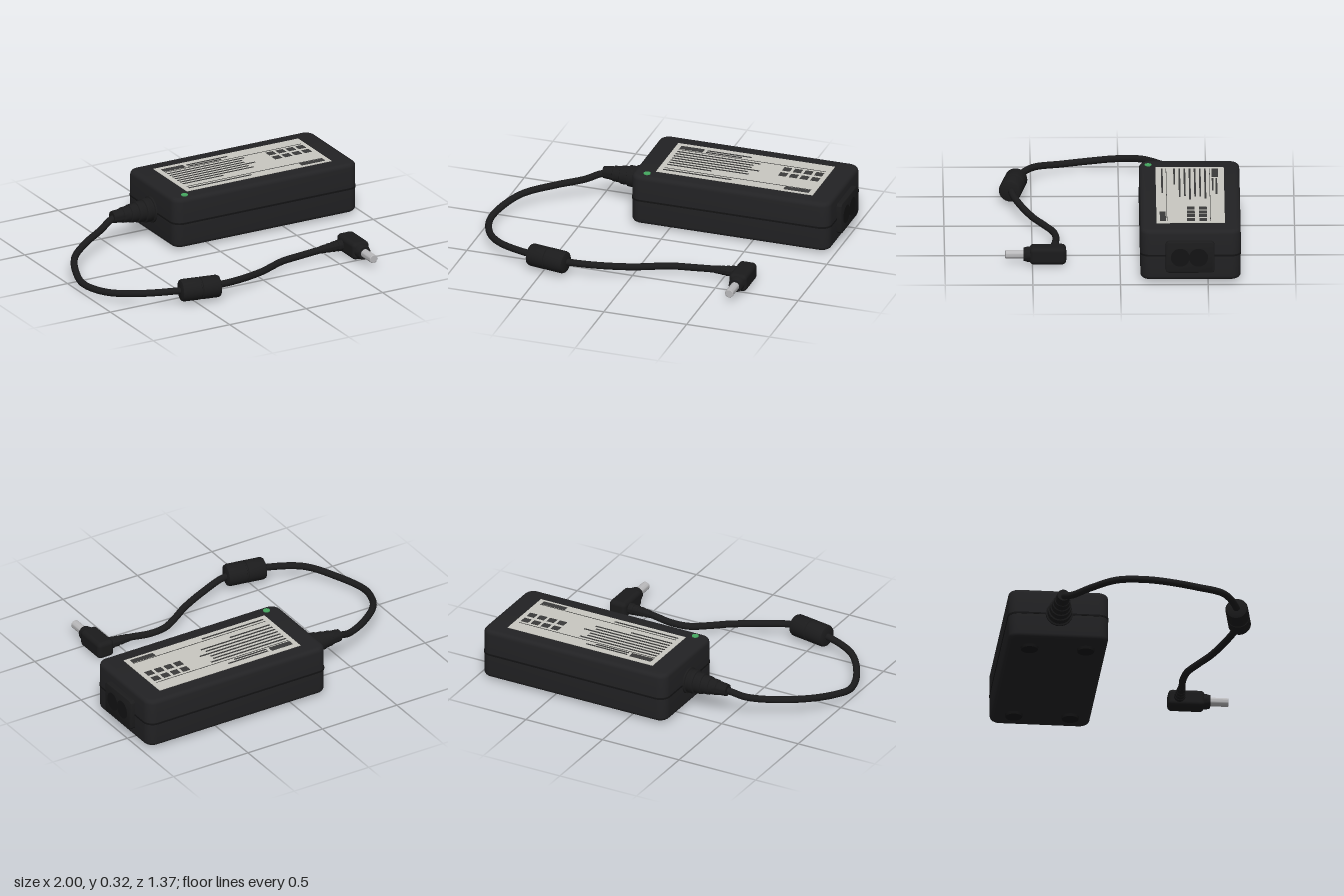
import * as THREE from 'three';
import { toCreasedNormals } from 'three/addons/utils/BufferGeometryUtils.js';
import { RoundedBoxGeometry } from 'three/addons/geometries/RoundedBoxGeometry.js';

const mat = (color) => new THREE.MeshStandardMaterial({ color });
const casing = mat(0x222224), rubber = mat(0x1b1b1c), dark = mat(0x131314);
const paper = mat(0xc8c7c0), ink = mat(0x3a3a3a), metal = mat(0xb8b8ba), green = mat(0x45a860);
const V = (x, y, z) => new THREE.Vector3(x, y, z);

function add(parent, name, geometry, material, x = 0, y = 0, z = 0) {
  const mesh = new THREE.Mesh(geometry, material);
  mesh.name = name;
  mesh.position.set(x, y, z);
  parent.add(mesh);
  return mesh;
}

// Rounded rectangle centred on the origin
function roundedRect(w, d, r) {
  const s = new THREE.Shape(), x = w / 2, y = d / 2;
  s.absarc(x - r, y - r, r, 0, Math.PI / 2);
  s.absarc(r - x, y - r, r, Math.PI / 2, Math.PI);
  s.absarc(r - x, r - y, r, Math.PI, Math.PI * 1.5);
  s.absarc(x - r, r - y, r, Math.PI * 1.5, Math.PI * 2);
  return s;
}

// Rounded slab of full size w x d x h, its thickness along z, centred
function slab(w, d, h, r, bevel) {
  const g = new THREE.ExtrudeGeometry(roundedRect(w - 2 * bevel, d - 2 * bevel, r - bevel), {
    depth: h - 2 * bevel, bevelEnabled: bevel > 0, bevelThickness: bevel,
    bevelSize: bevel, bevelSegments: 4, curveSegments: 8,
  });
  g.translate(0, 0, bevel - h / 2);
  return toCreasedNormals(g, 0.6);
}

// Turned part: [radius, distance] pairs along a direction from an origin
function turned(parent, name, profile, material, origin, dir) {
  const g = new THREE.LatheGeometry(profile.map(([r, t]) => new THREE.Vector2(r, t)), 28);
  const mesh = add(parent, name, toCreasedNormals(g, 0.6), material, ...origin.toArray());
  mesh.quaternion.setFromUnitVectors(V(0, 1, 0), dir.clone().normalize());
  return mesh;
}

// Stepped, ribbed cone profile
function ribs(r0, r1, length, count) {
  const p = [[0, 0], [r0, 0]];
  for (let i = 0; i < count; i++) {
    const r = r0 + (r1 - r0) * (i / (count - 1)), step = length / count, t = i * step;
    p.push([r, t + step * 0.12], [r * 0.97, t + step * 0.62]);
    if (i < count - 1) p.push([r * 0.86, t + step * 0.68], [r * 0.86, t + step * 0.98]);
  }
  p.push([r1 * 0.9, length], [0, length]);
  return p;
}

function buildBrick() {
  const brick = new THREE.Group();
  brick.name = 'powerBrick';
  const cx = 0.37, cz = -0.4;
  add(brick, 'casing', slab(1.2, 0.572, 0.3, 0.06, 0.025).rotateX(-Math.PI / 2), casing, cx, 0.166, cz);
  add(brick, 'seam', slab(1.206, 0.578, 0.01, 0.062, 0).rotateX(-Math.PI / 2), dark, cx, 0.165, cz);

  // Feet
  for (const x of [-0.087, 0.828]) for (const z of [-0.233, -0.556])
    add(brick, 'foot', new THREE.CylinderGeometry(0.052, 0.048, 0.025, 28), dark, x, 0.0125, z);

  // Mains inlet with its two round openings
  add(brick, 'inletPlate', slab(0.278, 0.186, 0.05, 0.02, 0.006).rotateY(Math.PI / 2), rubber, 0.975, 0.163, -0.397);
  for (const z of [-0.341, -0.445])
    add(brick, 'inletOpening', new THREE.CylinderGeometry(0.054, 0.054, 0.004, 32).rotateZ(Math.PI / 2), dark, 0.9995, 0.163, z);

  // Status light
  add(brick, 'statusLight', new THREE.CylinderGeometry(0.02, 0.02, 0.012, 24), green, -0.142, 0.315, -0.166);

  // Cable strain relief
  turned(brick, 'strainRelief', ribs(0.079, 0.038, 0.275, 6), rubber, V(-0.21, 0.166, -0.4), V(-1, 0, 0));
  return brick;
}

function buildLabel() {
  const label = new THREE.Group();
  label.name = 'ratingLabel';
  add(label, 'labelSheet', new THREE.BoxGeometry(0.946, 0.006, 0.39), paper, 0.37, 0.316, -0.402);
  const bar = (x0, x1, z, d = 0.01) =>
    add(label, 'printedBar', new THREE.BoxGeometry(x1 - x0, 0.003, d), ink, (x0 + x1) / 2, 0.3195, z);
  const left = -0.072;
  bar(left, 0.068, -0.545, 0.038);
  bar(0.088, 0.355, -0.553);
  bar(0.088, 0.302, -0.532);
  bar(left, 0.815, -0.515, 0.003);
  [0.43, 0.398, 0.398, 0.452, 0.393, 0.409, 0.195].forEach((end, i) => bar(left, end, -0.489 + i * 0.0293));
  bar(left, 0.815, -0.267, 0.003);
  bar(left, 0.34, -0.243);
  bar(0.66, 0.812, -0.243, 0.034);
  // Grid of square marks
  for (let i = 0; i < 4; i++) for (const z of [-0.473, -0.404])
    bar(0.574 + i * 0.0645, 0.62 + i * 0.0645, z, 0.044);
  return label;
}

function buildCable() {
  const cable = new THREE.Group();
  cable.name = 'outputCable';
  const path = new THREE.CatmullRomCurve3([
    V(-0.44, 0.166, -0.4), V(-0.5, 0.155, -0.39), V(-0.58, 0.125, -0.355), V(-0.73, 0.105, -0.265),
    V(-0.88, 0.09, -0.13), V(-0.955, 0.065, 0.02), V(-0.978, 0.045, 0.15), V(-0.925, 0.045, 0.32),
    V(-0.8, 0.07, 0.485), V(-0.6, 0.08, 0.578), V(-0.473, 0.08, 0.602), V(-0.34, 0.08, 0.61),
    V(-0.18, 0.065, 0.565), V(0, 0.05, 0.49), V(0.1, 0.042, 0.43), V(0.2, 0.036, 0.378),
    V(0.31, 0.038, 0.363), V(0.45, 0.052, 0.37), V(0.6, 0.058, 0.37),
  ]);
  add(cable, 'cord', new THREE.TubeGeometry(path, 200, 0.02, 14), rubber);

  // Ferrite choke with a central groove
  const r = 0.065, h = 0.12;
  turned(cable, 'ferriteChoke', [
    [0, -h], [0.045, -h], [0.06, -h + 0.006], [r, -h + 0.018], [r, -0.006], [0.059, -0.003],
    [0.059, 0.003], [r, 0.006], [r, h - 0.018], [0.06, h - 0.006], [0.045, h], [0, h],
  ], rubber, V(-0.473, 0.08, 0.602), V(1, 0, 0.18));
  return cable;
}

function buildPlug() {
  const plug = new THREE.Group();
  plug.name = 'rightAnglePlug';
  const x = 0.636, y = 0.057, forward = V(0, 0, 1);
  add(plug, 'plugBody', new RoundedBoxGeometry(0.107, 0.102, 0.209, 4, 0.025), rubber, x, y, 0.4115);
  turned(plug, 'plugCollar', [[0, 0], [0.045, 0], [0.045, 0.025], [0.038, 0.05], [0, 0.05]], rubber, V(x, y, 0.5), forward);
  turned(plug, 'barrel', [[0, 0], [0.025, 0], [0.025, 0.117], [0.022, 0.12], [0, 0.12]], metal, V(x, y, 0.535), forward);
  turned(plug, 'plugStrainRelief', ribs(0.037, 0.024, 0.155, 5), rubber, V(0.605, y, 0.37), V(-1, -0.03, 0));
  return plug;
}

export function createModel() {
  const model = new THREE.Group();
  model.name = 'powerAdapter';
  model.add(buildBrick(), buildLabel(), buildCable(), buildPlug());
  return model;
}
